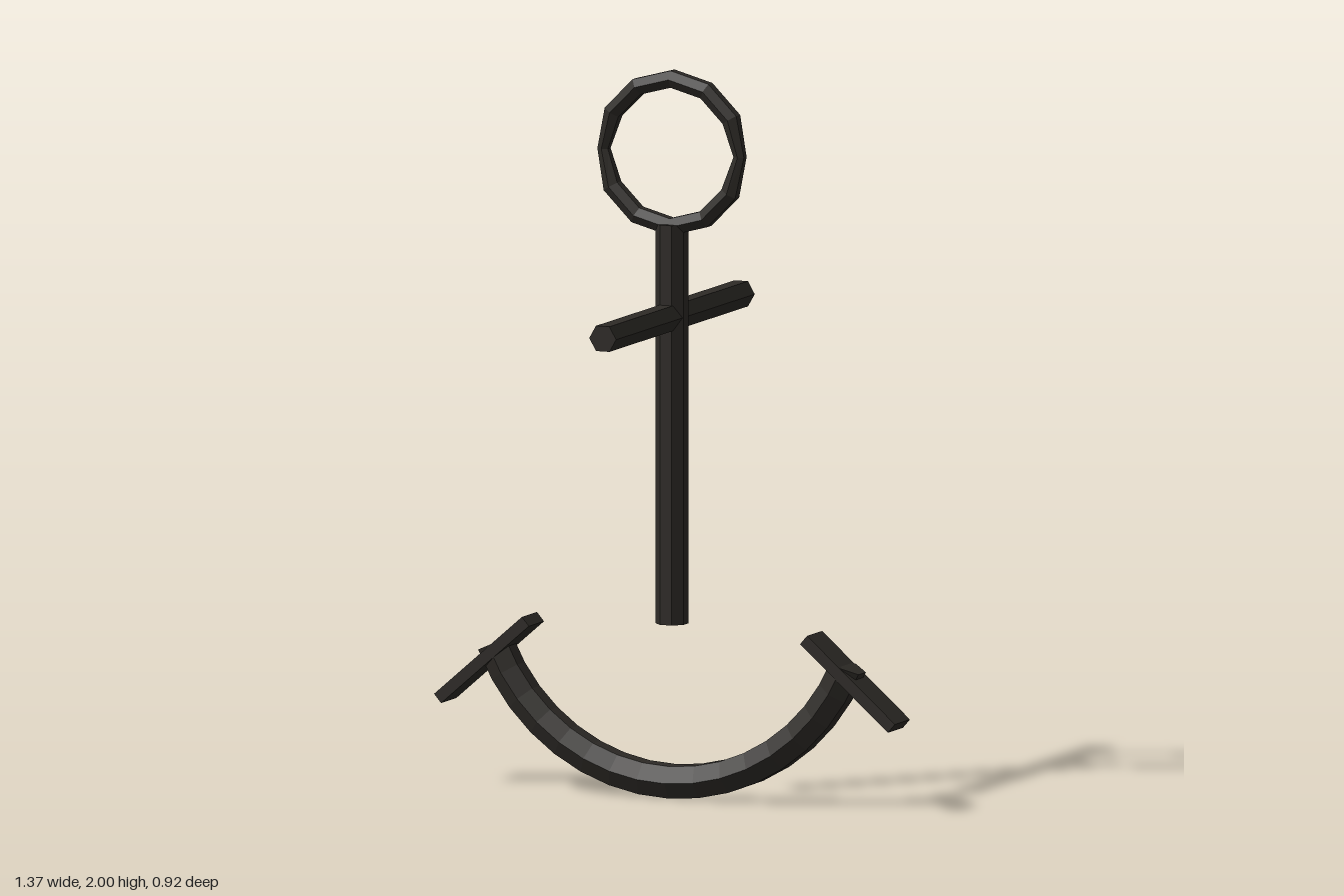
import * as THREE from 'three';

const iron = new THREE.MeshStandardMaterial({ color: 0x2e2b27, flatShading: true });

function add(group, name, geometry) {
  const mesh = new THREE.Mesh(geometry, iron);
  mesh.name = name;
  group.add(mesh);
  return mesh;
}

// Sweeps a hexagon along a circular arc in the XY plane.
// section(i) gives the in-plane radius, the z radius and a z shift.
function sweepArc(cy, R, from, to, steps, section, closed) {
  const sides = 6, pos = [], idx = [];
  for (let i = 0; i <= steps; i++) {
    const a = from + ((to - from) * i) / steps;
    const { r, rz, dz } = section(i % (closed ? steps : steps + 1));
    for (let j = 0; j < sides; j++) {
      const b = (j / sides) * Math.PI * 2 + Math.PI / 2;
      const d = R + r * Math.cos(b);
      pos.push(d * Math.cos(a), cy + d * Math.sin(a), dz + rz * Math.sin(b));
    }
  }
  for (let i = 0; i < steps; i++) {
    for (let j = 0; j < sides; j++) {
      const p = i * sides + j, q = i * sides + ((j + 1) % sides);
      idx.push(p, q, p + sides, q, q + sides, p + sides);
    }
  }
  if (!closed) {
    const e = steps * sides;
    for (let j = 1; j < sides - 1; j++) {
      idx.push(0, j + 1, j);
      idx.push(e, e + j, e + j + 1);
    }
  }
  const g = new THREE.BufferGeometry();
  g.setAttribute('position', new THREE.Float32BufferAttribute(pos, 3));
  // Reverse the winding so that faces point outwards
  for (let k = 0; k < idx.length; k += 3) [idx[k + 1], idx[k + 2]] = [idx[k + 2], idx[k + 1]];
  g.setIndex(idx);
  const flat = g.toNonIndexed();
  flat.computeVertexNormals();
  return orientOutward(flat, cy, R);
}

// Flips all faces if the first one points towards the arc's centre line
function orientOutward(g, cy, R) {
  const p = g.attributes.position, n = g.attributes.normal;
  const c = new THREE.Vector3();
  for (let i = 0; i < 3; i++) c.add(new THREE.Vector3().fromBufferAttribute(p, i));
  c.divideScalar(3);
  const a = Math.atan2(c.y - cy, c.x);
  const core = new THREE.Vector3(R * Math.cos(a), cy + R * Math.sin(a), 0);
  if (c.sub(core).dot(new THREE.Vector3().fromBufferAttribute(n, 0)) < 0) {
    const v = p.array;
    for (let k = 0; k < v.length; k += 9) {
      for (let m = 0; m < 3; m++) [v[k + 3 + m], v[k + 6 + m]] = [v[k + 6 + m], v[k + 3 + m]];
    }
    g.computeVertexNormals();
  }
  return g;
}

export function createModel() {
  const anchor = new THREE.Group();
  anchor.name = 'anchor';

  // Upright octagonal shank
  const shank = add(anchor, 'shank', new THREE.CylinderGeometry(0.045, 0.045, 1.1, 8));
  shank.rotation.y = Math.PI / 8;
  shank.position.y = 1.03;

  // Hexagonal crossbar running front to back, with corners at its sides
  const stock = new THREE.CylinderGeometry(0.04, 0.04, 0.92, 6);
  stock.rotateY(Math.PI / 2);
  stock.rotateX(Math.PI / 2);
  add(anchor, 'stock', stock).position.y = 1.325;

  // Twelve-sided ring, pinched where its two halves meet
  add(anchor, 'ring', sweepArc(1.775, 0.203, 0, Math.PI * 2, 12, (i) => {
    const joint = i % 6 === 0;
    return { r: joint ? 0.018 : 0.027, rz: joint ? 0.018 : 0.027, dz: joint ? 0 : i < 6 ? -0.003 : 0.004 };
  }, true));

  // Curved arms in one hexagonal sweep
  const half = THREE.MathUtils.degToRad(67);
  add(anchor, 'arms', sweepArc(0.617, 0.572, -Math.PI / 2 - half, -Math.PI / 2 + half, 16,
    () => ({ r: 0.051, rz: 0.05, dz: 0 }), false));

  // Flat flukes slanting across the arm ends
  for (const side of [-1, 1]) {
    const fluke = add(anchor, side > 0 ? 'leftFluke' : 'rightFluke', new THREE.BoxGeometry(0.347, 0.032, 0.1));
    fluke.position.set(side * 0.546, 0.352, 0);
    fluke.rotation.z = -side * 0.715;
  }
  return anchor;
}
